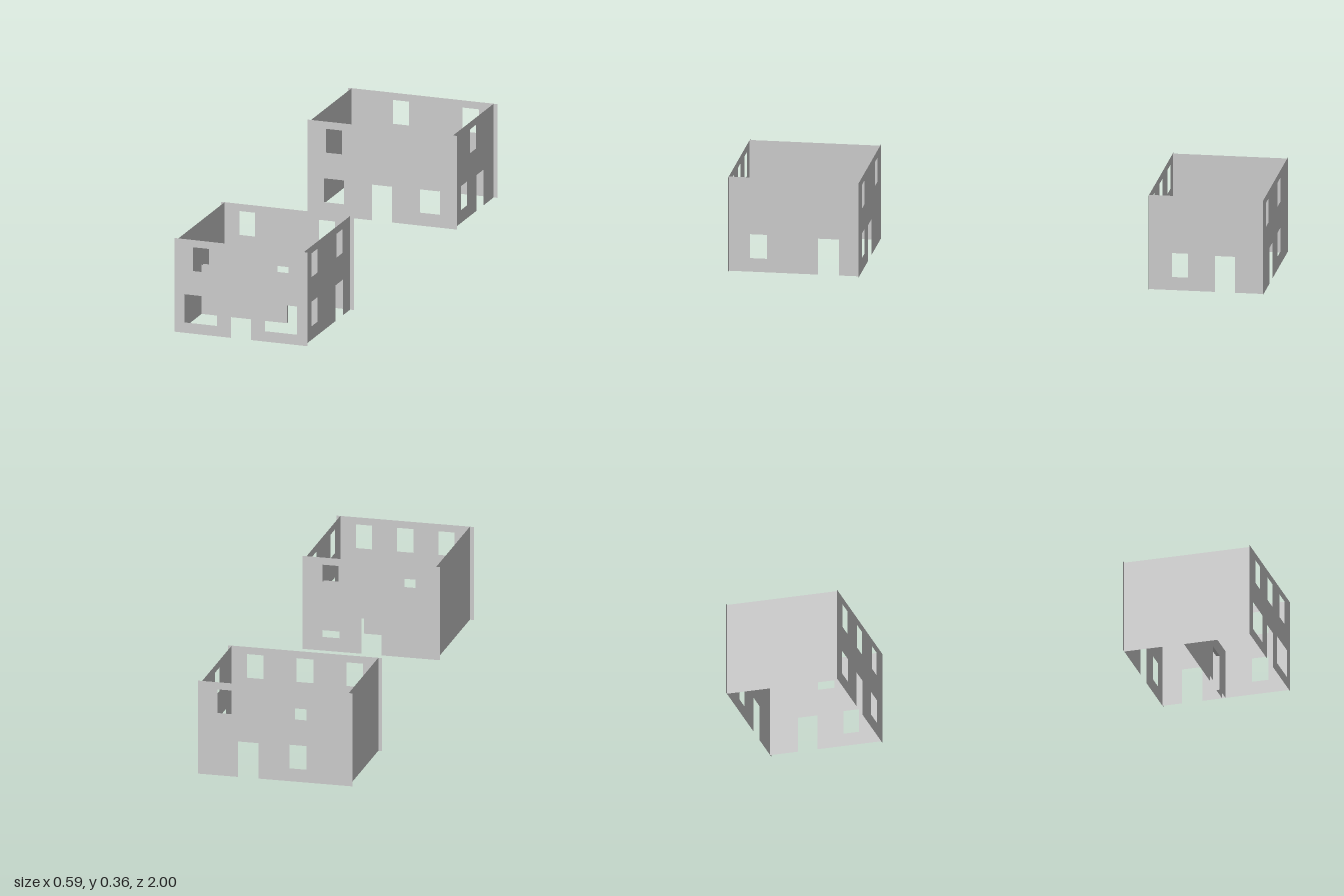
import * as THREE from 'three';

const H = 0.362;      // wall height
const INSET = 0.015;  // side walls sit in from the ends of the front and back walls
const material = new THREE.MeshStandardMaterial({ color: 0xcccccc, side: THREE.DoubleSide, flatShading: true });

// Thin upright wall from a to b; doors are [a, b, height] notches, windows are [a, b, bottom, top] holes
function wall(name, a, b, { doors = [], windows = [], height = H } = {}) {
  const shape = new THREE.Shape();
  shape.moveTo(a, 0);
  for (const [d0, d1, top] of doors) {
    shape.lineTo(d0, 0);
    shape.lineTo(d0, top);
    shape.lineTo(d1, top);
    shape.lineTo(d1, 0);
  }
  shape.lineTo(b, 0);
  shape.lineTo(b, height);
  shape.lineTo(a, height);
  shape.closePath();
  for (const [w0, w1, y0, y1] of windows) {
    const hole = new THREE.Path();
    hole.moveTo(w0, y0);
    hole.lineTo(w0, y1);
    hole.lineTo(w1, y1);
    hole.lineTo(w1, y0);
    hole.closePath();
    shape.holes.push(hole);
  }
  const mesh = new THREE.Mesh(new THREE.ShapeGeometry(shape), material);
  mesh.name = name;
  return mesh;
}

// Four walls without roof or floor
function house(name, x0, x1, zBack, zFront, front, back, right) {
  const group = new THREE.Group();
  group.name = name;
  const frontWall = wall('frontWall', x0, x1, front);
  frontWall.position.z = zFront;
  const backWall = wall('backWall', x0, x1, back);
  backWall.position.z = zBack;
  // Side walls are drawn along -z
  const sides = [['windowedSideWall', x1 - INSET, right], ['plainSideWall', x0 + INSET, {}]];
  for (const [sideName, x, openings] of sides) {
    const side = wall(sideName, -zFront, -zBack, openings);
    side.rotation.y = Math.PI / 2;
    side.position.x = x;
    group.add(side);
  }
  group.add(frontWall, backWall);
  return group;
}

// Low partition with two faces and a lined doorway
function partition(x0, x1, z0, z1) {
  const group = new THREE.Group();
  group.name = 'partition';
  const [d0, d1, top] = [0.121, 0.205, 0.138];
  for (const z of [z0, z1]) {
    const face = wall('partitionFace', x0, x1, { doors: [[d0, d1, top]], height: 0.19 });
    face.position.z = z;
    group.add(face);
  }
  const z = (z0 + z1) / 2, depth = z1 - z0;
  for (const x of [d0, d1]) {
    const jamb = new THREE.Mesh(new THREE.PlaneGeometry(depth, top), material);
    jamb.name = 'doorJamb';
    jamb.rotation.y = Math.PI / 2;
    jamb.position.set(x, top / 2, z);
    group.add(jamb);
  }
  const header = new THREE.Mesh(new THREE.PlaneGeometry(d1 - d0, depth), material);
  header.name = 'doorHeader';
  header.rotation.x = -Math.PI / 2;
  header.position.set((d0 + d1) / 2, top, z);
  group.add(header);
  return group;
}

export function createModel() {
  const model = new THREE.Group();
  model.name = 'twoHouses';
  const up = (a, b) => [a, b, 0.242, 0.334]; // upper-storey window

  const frontHouse = house('frontHouse', -0.23, 0.295, 0.512, 1,
    {
      doors: [[-0.007, 0.071, 0.138]],
      windows: [up(-0.157, -0.095), up(0.001, 0.063), up(0.158, 0.22),
        [-0.19, -0.062, 0.04, 0.149], [0.126, 0.253, 0.04, 0.149]],
    },
    {
      doors: [[-0.007, 0.071, 0.138]],
      windows: [up(-0.157, -0.095), up(0.158, 0.22), [0.155, 0.22, 0.053, 0.147]],
    },
    {
      doors: [[-0.666, -0.588, 0.138]],
      windows: [up(-0.92, -0.858), up(-0.658, -0.595), [-0.92, -0.858, 0.052, 0.147]],
    });
  frontHouse.add(partition(-0.215, 0.28, 0.742, 0.755));

  const backHouse = house('backHouse', -0.295, 0.295, -1, -0.572,
    {
      doors: [[-0.039, 0.039, 0.138]],
      windows: [up(-0.222, -0.158), up(-0.032, 0.032), up(0.158, 0.222),
        [-0.228, -0.15, 0.05, 0.142], [0.15, 0.228, 0.05, 0.142]],
    },
    {
      doors: [[0.065, 0.143, 0.138]],
      windows: [up(-0.118, -0.053), up(0.158, 0.222), [-0.118, -0.053, 0.05, 0.142]],
    },
    {
      doors: [[0.818, 0.893, 0.138]],
      windows: [up(0.752, 0.815), [0.658, 0.717, 0.05, 0.142]],
    });

  model.add(frontHouse, backHouse);
  return model;
}
